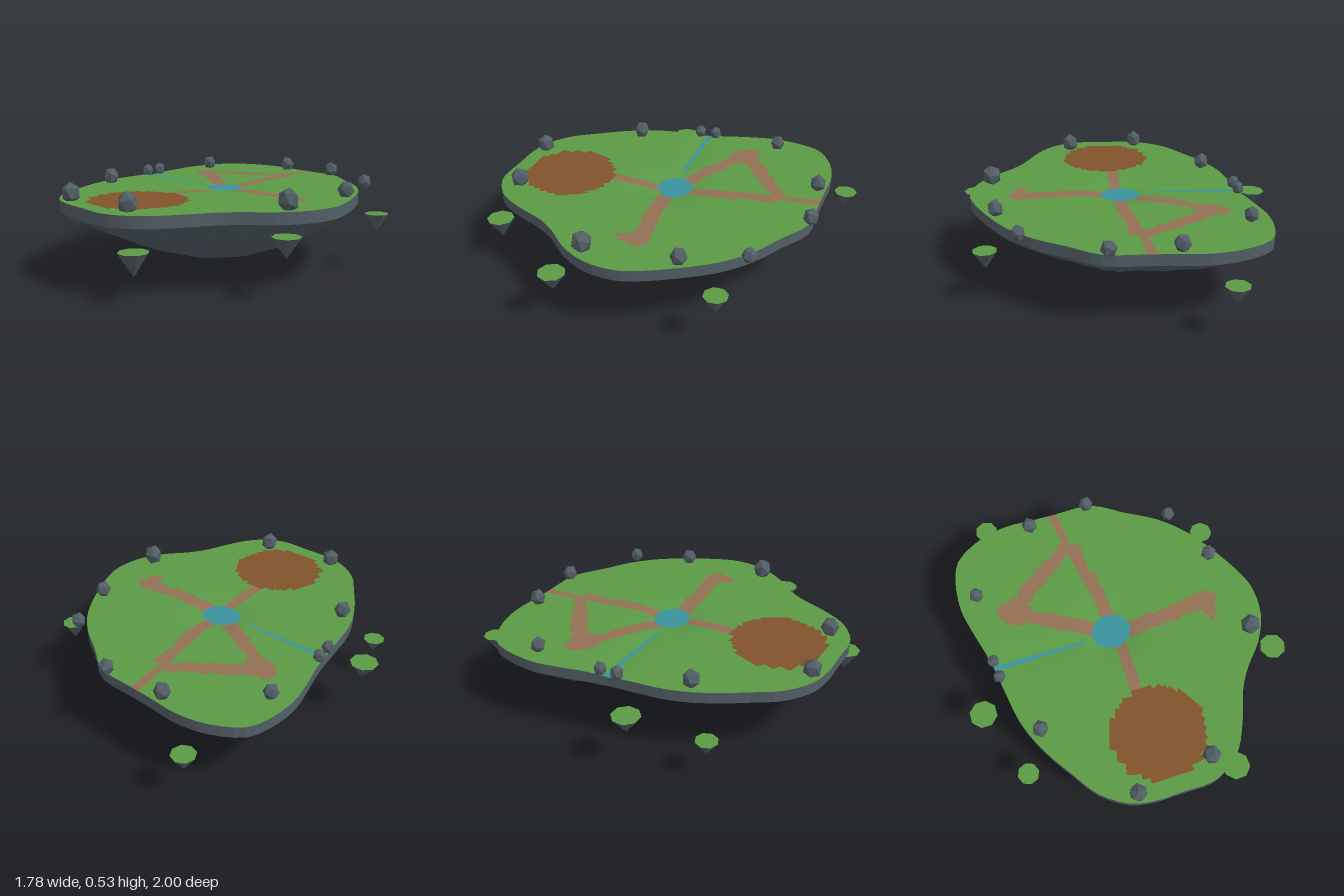
import * as THREE from 'three';

const mat = (name, color) => Object.assign(new THREE.MeshStandardMaterial({ color }), { name });
const V = (x, y, z) => new THREE.Vector3(x, y, z);

// Shore outline seen from above, as x, z pairs starting at the back
const OUTLINE = [
  [0, -.81], [.21, -.78], [.37, -.66], [.53, -.54], [.65, -.40], [.75, -.21], [.82, -.03], [.84, .08],
  [.81, .24], [.72, .38], [.60, .49], [.52, .59], [.44, .74], [.35, .87], [.25, .94], [.15, .97],
  [-.01, .955], [-.16, .94], [-.29, .90], [-.42, .79], [-.50, .65], [-.595, .46], [-.65, .28], [-.665, .08],
  [-.675, -.11], [-.71, -.34], [-.72, -.46], [-.69, -.635], [-.63, -.75], [-.47, -.83], [-.30, -.85], [-.155, -.83],
];

// Footpaths: half width, then x, z points
const PATHS = [
  [.036, [-.01, -.82], [-.02, -.62], [0, -.5], [.025, -.3], [.02, -.08]],
  [.04, [-.02, -.59], [-.2, -.49], [-.45, -.34]],
  [.04, [-.45, -.32], [-.26, -.18], [-.07, -.05]],
  [.075, [-.46, -.33], [-.43, -.31]],
  [.045, [.1, .02], [.35, .03], [.58, .03]],
  [.05, [.55, .03], [.56, .1]],
  [.03, [.02, .1], [-.01, .4]],
];

function distToSegment(x, z, [ax, az], [bx, bz]) {
  const dx = bx - ax, dz = bz - az;
  const t = THREE.MathUtils.clamp(((x - ax) * dx + (z - az) * dz) / (dx * dx + dz * dz), 0, 1);
  return Math.hypot(x - ax - t * dx, z - az - t * dz);
}

const onPath = (x, z) => PATHS.some(([w, ...pts]) =>
  pts.slice(1).some((p, i) => distToSegment(x, z, pts[i], p) < w));

// Ground: 0 grass, 1 path, 2 soil
function groundType(x, z) {
  if (Math.hypot(x / .262, (z - .62) / .255) < 1) return 2;
  return onPath(x, z) ? 1 : 0;
}

// Level ground with a bowl for the pond and a shallow channel for the stream
function groundHeight(x, z) {
  const bowl = .03 * Math.exp(-((Math.hypot(x, z) / .14) ** 2));
  const d = distToSegment(x, z, [-.1, 0], [-.68, -.06]);
  return .422 - Math.max(bowl, .009 * Math.exp(-((d / .05) ** 2)));
}

// Skin between rows of points; pick(centre) chooses the material group
function loft(rows, pick = () => 0) {
  const n = rows[0].length, pts = rows.flat(), groups = [[], [], []];
  for (let i = 0; i < rows.length - 1; i++) {
    for (let j = 0; j < n - 1; j++) {
      const a = i * n + j, b = a + 1, c = b + n, d = a + n;
      const mid = V(0, 0, 0).add(pts[a]).add(pts[b]).add(pts[c]).add(pts[d]).multiplyScalar(.25);
      groups[pick(mid)].push(a, b, c, a, c, d);
    }
  }
  const geo = new THREE.BufferGeometry().setFromPoints(pts);
  geo.setIndex(groups.flat());
  let start = 0;
  groups.forEach((g, k) => {
    if (g.length) geo.addGroup(start, g.length, k);
    start += g.length;
  });
  geo.computeVertexNormals();
  return geo;
}

function faceted(geo) {
  const flat = geo.index ? geo.toNonIndexed() : geo;
  flat.computeVertexNormals();
  return flat;
}

export function createModel() {
  const grass = mat('grass', 0x5a9a45), path = mat('path', 0x936f54), soil = mat('soil', 0x82532c);
  const water = mat('water', 0x3a929c), stone = mat('stone', 0x525e66);
  const model = new THREE.Group();
  model.name = 'floatingIsland';
  const add = (name, geo, material, parent = model) => {
    const mesh = new THREE.Mesh(geo, material);
    mesh.name = name;
    parent.add(mesh);
    return mesh;
  };

  const shore = new THREE.CatmullRomCurve3(OUTLINE.map(([x, z]) => V(x, 0, z)), true)
    .getPoints(OUTLINE.length * 3);

  // Ground with paths and a soil plot
  const RINGS = 32;
  const groundRows = Array.from({ length: RINGS + 1 }, (_, i) => shore.map((p) => {
    const x = p.x * i / RINGS, z = p.z * i / RINGS;
    return V(x, groundHeight(x, z), z);
  }));
  add('ground', loft(groundRows, (m) => groundType(m.x, m.z)), [grass, path, soil]);

  // Rocky rim and tapering underside, slightly uneven
  const levels = [[1, .36], [.8, .26], [.57, .157], [.25, .056], [0, 0]];
  const rockRows = [groundRows[RINGS], ...levels.map(([s, y], k) => shore.map((p, j) => {
    const rough = s < 1 && s > 0 ? .012 * Math.sin((j % (shore.length - 1)) * 2.4 + k * 1.7) : 0;
    return V(p.x * (s + rough), y, p.z * (s + rough));
  }))];
  add('underside', faceted(loft(rockRows)), [stone, stone, stone]);

  // Pond
  const pond = add('pond', new THREE.CircleGeometry(.11, 32).rotateX(-Math.PI / 2), water);
  pond.scale.z = .88;
  pond.position.set(.003, .412, -.008);

  // Stream running to the right shore
  const streamRows = Array.from({ length: 13 }, (_, i) => {
    const t = i / 12, x = -.16 - t * .51, z = -.006 - t * .052, w = .007 + .009 * t;
    const y = groundHeight(x, z) + .004;
    return [V(x, y, z + w), V(x, y, z - w)];
  });
  add('stream', loft(streamRows), [water, water, water]);

  // Boulders around the edge: x, z, radius
  const boulders = new THREE.Group();
  boulders.name = 'boulders';
  model.add(boulders);
  [[-.175, -.785, .045], [.18, -.785, .043], [.595, -.535, .04], [.70, -.21, .045], [.715, .28, .056],
    [.20, .845, .052], [-.23, .87, .05], [-.565, .36, .047], [-.61, -.495, .042],
    [-.66, -.095, .036], [-.66, 0, .036]].forEach(([x, z, r], i) => {
    const geo = new THREE.IcosahedronGeometry(r, 0).rotateX(i * 1.3).rotateZ(i * .7).rotateY(i * 2.1);
    geo.scale(1, 1.15, 1);
    add('boulder', faceted(geo), stone, boulders).position.set(x, .415 + r * .9, z);
  });

  // Small floating islets: x, z, radius, top, bottom
  const islets = new THREE.Group();
  islets.name = 'islets';
  model.add(islets);
  [[-.41, -.94, .065, .255, .195], [.765, -.41, .065, .31, .21], [.815, .41, .073, .325, .22],
    [.335, .925, .077, .26, .14], [-.715, .51, .06, .235, .155], [-.818, .13, .077, .335, .235]]
    .forEach(([x, z, r, top, bottom], i) => {
      const tip = i === 0 ? .195 : bottom, brim = i === 0 ? .29 : top;
      const geo = new THREE.CylinderGeometry(r, 0, brim - tip, 8).rotateY(i * .37);
      add('islet', faceted(geo), [stone, grass, stone], islets).position.set(x, (brim + tip) / 2, z);
    });

  return model;
}
